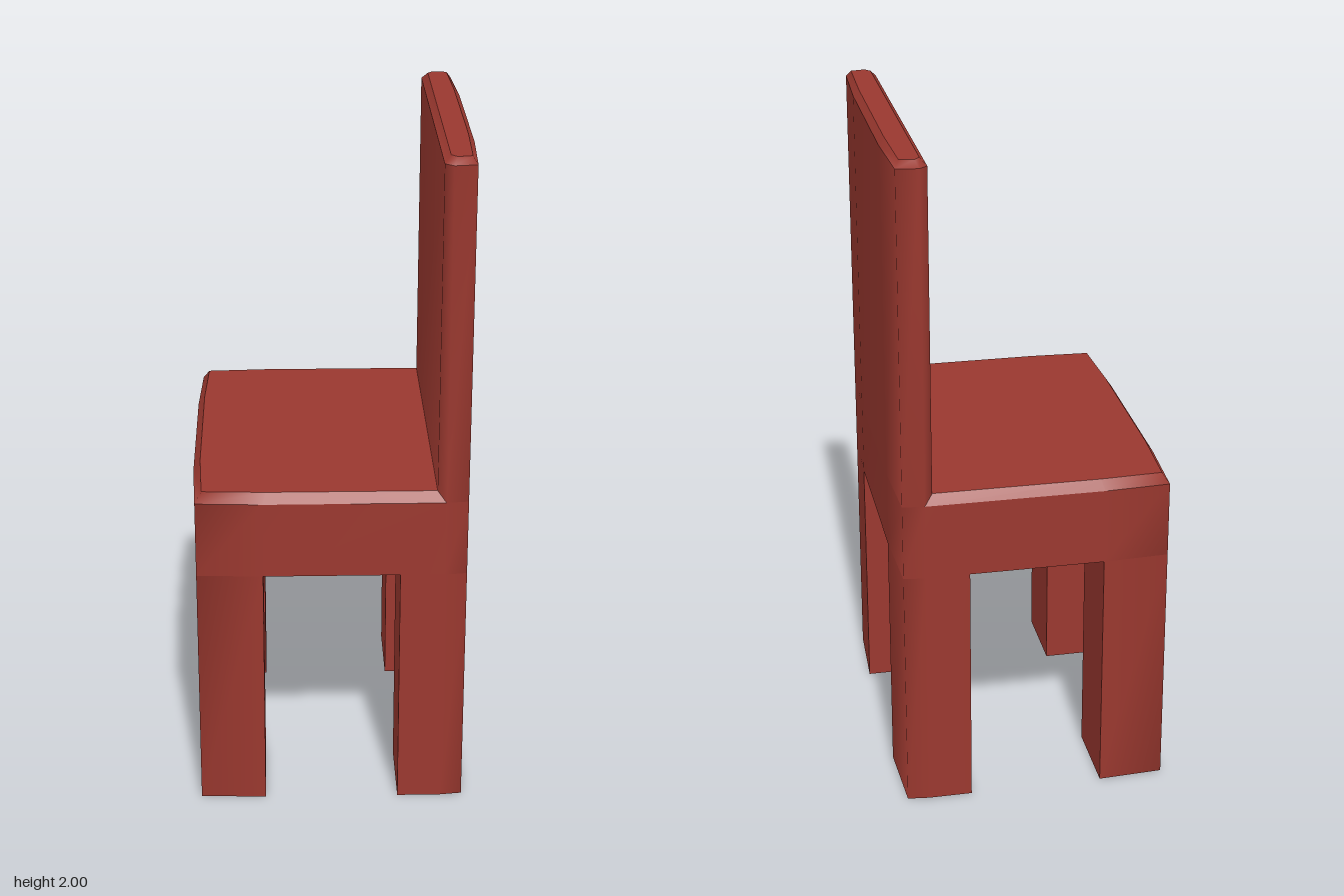
import * as THREE from 'three';
import { mergeGeometries, toCreasedNormals } from 'three/addons/utils/BufferGeometryUtils.js';

const CREASE = 1.5; // softens the bowed vertical corners, keeps square edges crisp

// Geometry from a flat list of [x, y, z] triangle corners
function fromCorners(corners, crease) {
  const g = new THREE.BufferGeometry();
  g.setAttribute('position', new THREE.Float32BufferAttribute(corners.flat(), 3));
  return toCreasedNormals(g, crease);
}

// Stack of convex outlines; each level is { y, pts: [[x, z], ...] }
function loft(levels, bottomCap, topCap) {
  const parts = [];
  const rings = levels.map(({ y, pts }) => pts.map(([x, z]) => [x, y, z]));
  const n = rings[0].length;
  for (let k = 0; k < rings.length - 1; k++) {
    const lo = rings[k], hi = rings[k + 1], band = [];
    for (let i = 0; i < n; i++) {
      const j = (i + 1) % n;
      band.push(lo[i], lo[j], hi[j], lo[i], hi[j], hi[i]);
    }
    parts.push(fromCorners(band, CREASE));
  }
  const cap = (ring, up) => {
    const tris = [];
    for (let i = 1; i < n - 1; i++) {
      tris.push(ring[0], ...(up ? [ring[i], ring[i + 1]] : [ring[i + 1], ring[i]]));
    }
    parts.push(fromCorners(tris, 0.1));
  };
  if (bottomCap) cap(rings[0], false);
  if (topCap) cap(rings[rings.length - 1], true);
  return mergeGeometries(parts);
}

const mirrorZ = (pts) => pts.map(([x, z]) => [x, -z]).reverse();
const inset = (pts, cx, sx, sz) => pts.map(([x, z]) => [cx + (x - cx) * sx, z * sz]);

export function createModel() {
  const chair = new THREE.Group();
  chair.name = 'chair';
  const redWood = new THREE.MeshStandardMaterial({ color: 0x9a382f });
  redWood.name = 'redWood';

  const add = (name, geometry) => {
    const mesh = new THREE.Mesh(geometry, redWood);
    mesh.name = name;
    chair.add(mesh);
  };

  // Seat block with slightly bowed sides and a bevelled top
  const seatHalf = [[-0.405, 0.26], [-0.395, 0.495], [-0.2, 0.505], [0.33, 0.505], [0.395, 0.497], [0.405, 0.26]];
  const seat = [...seatHalf, ...mirrorZ(seatHalf)];
  add('seat', loft([
    { y: 0.75, pts: seat },
    { y: 0.98, pts: seat },
    { y: 1.01, pts: inset(seat, 0, 0.95, 0.96) },
  ], true, true));

  // Backrest, chamfered on its inner corners and along the top
  const backHalf = [[0.305, 0.485], [0.33, 0.505], [0.395, 0.497], [0.405, 0.26]];
  const back = [...backHalf, ...mirrorZ(backHalf)];
  add('backrest', loft([
    { y: 0.98, pts: back },
    { y: 1.98, pts: back },
    { y: 2.0, pts: inset(back, 0.357, 0.65, 0.96) },
  ], false, true));

  // Four legs following the seat outline
  const frontLeg = [[-0.405, 0.26], [-0.395, 0.495], [-0.2, 0.505], [-0.2, 0.26]];
  const rearLeg = [[0.2, 0.26], [0.2, 0.505], [0.33, 0.505], [0.395, 0.497], [0.405, 0.26]];
  for (const [name, pts] of [['frontLeg', frontLeg], ['rearLeg', rearLeg]]) {
    for (const outline of [pts, mirrorZ(pts)]) {
      add(name, loft([{ y: 0, pts: outline }, { y: 0.75, pts: outline }], true, false));
    }
  }

  return chair;
}
